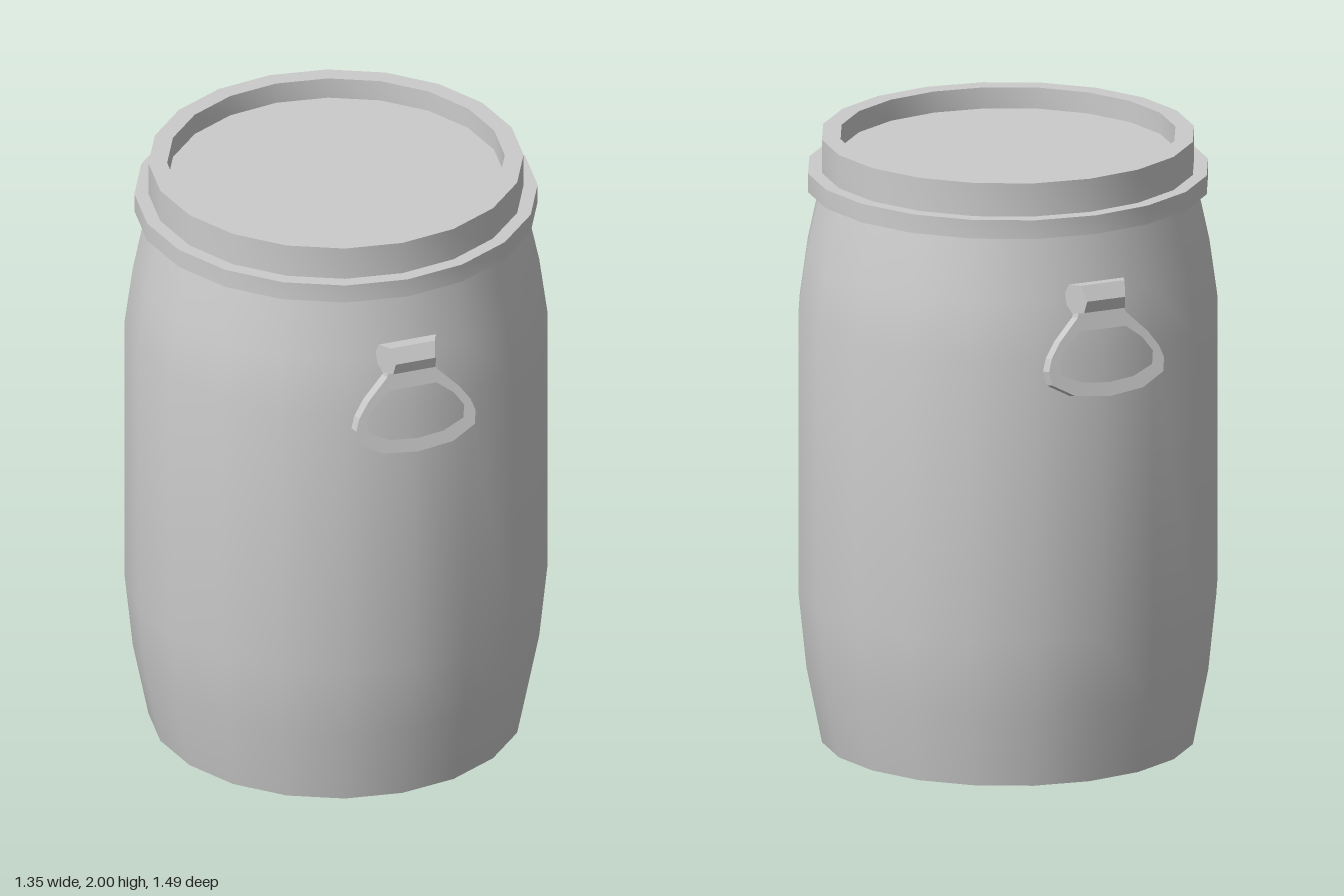
import * as THREE from 'three';
import { toCreasedNormals } from 'three/addons/utils/BufferGeometryUtils.js';

const SIDES = 20;
const grey = new THREE.MeshStandardMaterial({ color: 0xcccccc });
const flatGrey = new THREE.MeshStandardMaterial({ color: 0xcccccc, flatShading: true });

const points = (list) => list.map(([x, y]) => new THREE.Vector2(x, y));

// Turned part from [radius, height] pairs, smooth around but sharp at the rims
function turned(name, profile) {
  const geometry = toCreasedNormals(new THREE.LatheGeometry(points(profile), SIDES), 0.6);
  const mesh = new THREE.Mesh(geometry, grey);
  mesh.name = name;
  return mesh;
}

// Mirrors a half outline (x >= 0, listed top to bottom) into a closed loop
function mirrored(half) {
  const other = half.filter(([x]) => x > 0).map(([x, y]) => [-x, y]).reverse();
  return points([...half, ...other]);
}

// Six-sided lug that narrows away from the barrel
function makeBracket() {
  const outline = [[0.62, 1.62], [0.66, 1.578], [0.707, 1.59], [0.719, 1.63], [0.694, 1.678], [0.645, 1.672]];
  const geometry = new THREE.ExtrudeGeometry(new THREE.Shape(points(outline)), { depth: 2, bevelEnabled: false });
  geometry.translate(0, 0, -1);
  geometry.rotateY(-Math.PI / 2); // outline x becomes z, depth runs along x
  const p = geometry.attributes.position;
  for (let i = 0; i < p.count; i++) {
    const halfWidth = 0.105 - 0.4 * (p.getZ(i) - 0.625);
    p.setX(i, p.getX(i) * halfWidth);
  }
  geometry.computeVertexNormals();
  const mesh = new THREE.Mesh(geometry, flatGrey);
  mesh.name = 'handleBracket';
  return mesh;
}

// Hanging loop, tilted outwards at the bottom
function makeLoop() {
  const shape = new THREE.Shape(mirrored([
    [0.07, 0.02], [0.085, -0.03], [0.155, -0.1], [0.19, -0.15], [0.204, -0.19],
    [0.197, -0.235], [0.12, -0.278], [0, -0.292],
  ]));
  shape.holes.push(new THREE.Path(mirrored([
    [0.08, -0.075], [0.135, -0.118], [0.167, -0.165], [0.16, -0.207], [0.09, -0.238], [0, -0.247],
  ])));
  const geometry = new THREE.ExtrudeGeometry(shape, { depth: 0.046, bevelEnabled: false });
  geometry.translate(0, 0, -0.023);
  const mesh = new THREE.Mesh(geometry, flatGrey);
  mesh.name = 'handleLoop';
  mesh.position.set(0, 1.595, 0.658);
  mesh.rotation.x = -0.22;
  return mesh;
}

export function createModel() {
  const model = new THREE.Group();
  model.name = 'barrel';

  // Closed, bulging body
  model.add(turned('body', [
    [0, 0], [0.6, 0], [0.65, 0.25], [0.676, 0.5], [0.676, 1.43], [0.65, 1.62], [0.605, 1.83],
  ]));

  // Clamping band around the neck
  model.add(turned('clampBand', [[0.59, 1.828], [0.645, 1.828], [0.645, 1.89], [0.59, 1.89]]));

  // Lid with a raised rim and sunken centre
  model.add(turned('lid', [[0.6, 1.86], [0.6, 2], [0.54, 2], [0.54, 1.93], [0, 1.93]]));

  // Handles at front and back
  for (const [name, angle] of [['frontHandle', 0], ['backHandle', Math.PI]]) {
    const handle = new THREE.Group();
    handle.name = name;
    handle.add(makeBracket(), makeLoop());
    handle.rotation.y = angle;
    model.add(handle);
  }
  return model;
}
